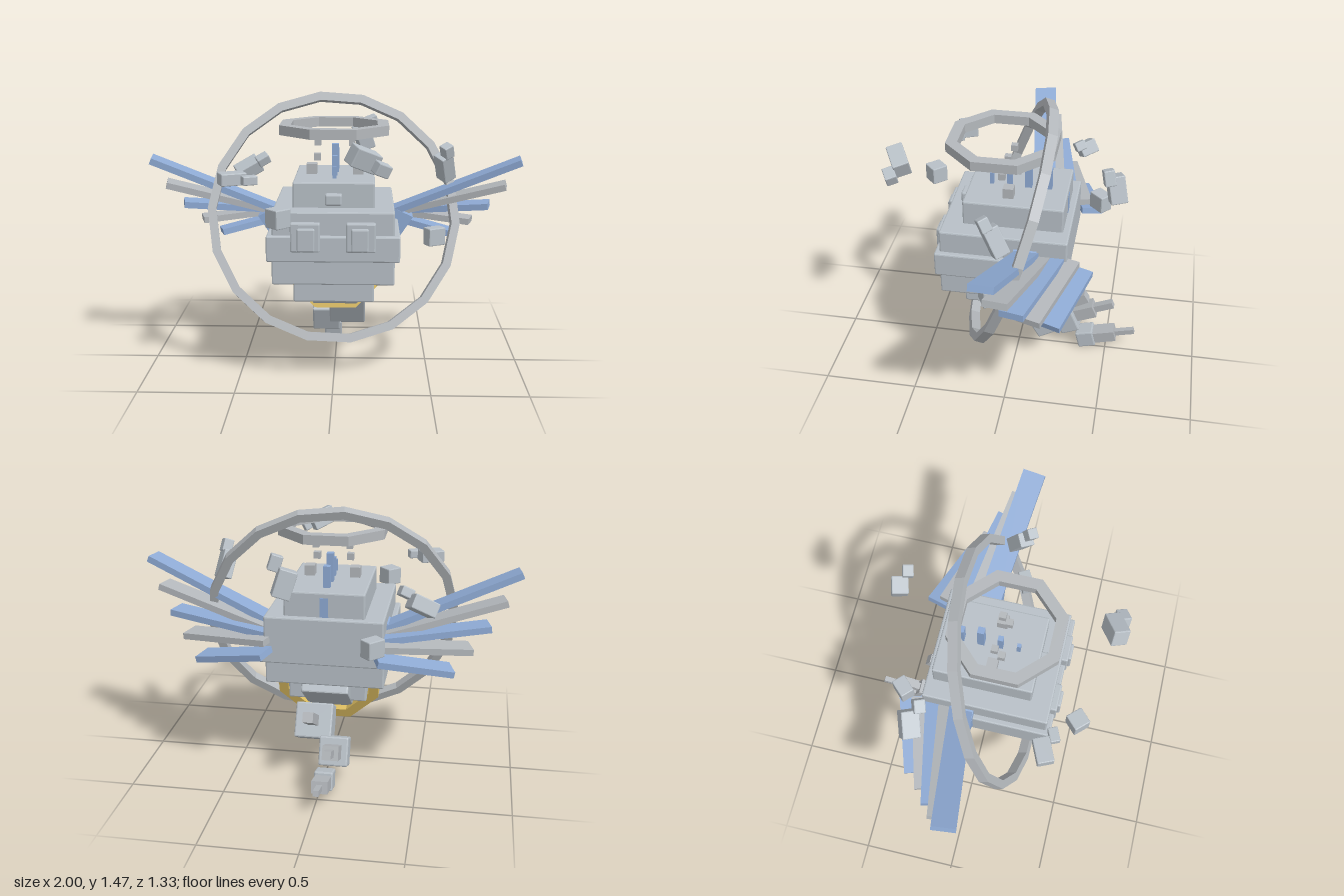
import * as THREE from 'three';
import { RoundedBoxGeometry } from 'three/addons/geometries/RoundedBoxGeometry.js';

const mat = (name, color) => {
  const m = new THREE.MeshStandardMaterial({ color, flatShading: true });
  m.name = name;
  return m;
};

export function createModel() {
  const stone = mat('stone grey', 0xb8c0c7);
  const paleGrey = mat('pale grey', 0xb4b8bc);
  const blue = mat('crystal blue', 0x8fabd5);
  const gold = mat('gold', 0xdabb60);

  const model = new THREE.Group();
  model.name = 'floatingGuardian';

  const add = (name, geometry, material, pos = [0, 0, 0], rot = [0, 0, 0], parent = model) => {
    const mesh = new THREE.Mesh(geometry, material);
    mesh.name = name;
    mesh.position.set(...pos);
    mesh.rotation.set(...rot);
    parent.add(mesh);
    return mesh;
  };
  const box = (name, size, pos, rot, material = stone, parent = model) =>
    add(name, new THREE.BoxGeometry(...size), material, pos, rot, parent);
  const block = (name, size, pos, rot, parent = model, r = 0.008) =>
    add(name, new RoundedBoxGeometry(...size, 1, r), stone, pos, rot, parent);

  // Polygonal ring with a rectangular section, lying around the y axis
  const ringGeometry = (outer, width, height, sides, start = 0, arc = Math.PI * 2) => {
    const inner = outer - width, h = height / 2;
    const profile = [[inner, -h], [outer, -h], [outer, h], [inner, h], [inner, -h]];
    return new THREE.LatheGeometry(profile.map(p => new THREE.Vector2(...p)), sides, start, arc);
  };

  // Stacked body: half width, bottom, top, back, front
  const tiers = [
    ['headBlock', 0.21, 0.91, 1.057, -0.26, 0.262],
    ['upperBody', 0.31, 0.79, 0.926, -0.295, 0.367],
    ['middleBody', 0.338, 0.672, 0.806, -0.295, 0.392],
    ['lowerBody', 0.312, 0.547, 0.68, -0.26, 0.37],
    ['baseBlock', 0.21, 0.421, 0.56, -0.155, 0.262],
  ];
  for (const [name, w, y0, y1, z0, z1] of tiers)
    block(name, [w * 2, y1 - y0, z1 - z0], [0, (y0 + y1) / 2, (z0 + z1) / 2]);

  // Face
  block('browStone', [0.085, 0.058, 0.06], [0, 0.973, 0.275]);
  for (const s of [-1, 1]) {
    block('eyeFrame', [0.15, 0.15, 0.06], [s * 0.14, 0.8, 0.37]);
    block('eye', [0.09, 0.12, 0.05], [s * 0.135, 0.79, 0.39]);
  }

  // Row of crystals along the crown: z, bottom, top, width
  for (const [z, y0, y1, w] of [
    [0.145, 1.04, 1.12, 0.02], [0.05, 1.04, 1.16, 0.028], [-0.05, 1.04, 1.21, 0.036],
    [-0.155, 1.04, 1.17, 0.036], [-0.24, 0.92, 1.03, 0.045],
  ]) box('crownCrystal', [w, y1 - y0, w], [0, (y0 + y1) / 2, z], undefined, blue);

  // Small cubes above the head
  for (const s of [-1, 1])
    for (const [x, y, z, w] of [[0.122, 1.09, 0.035, 0.055], [0.09, 1.16, 0.075, 0.036], [0.09, 1.23, 0.04, 0.034]])
      box('crownCube', [w, w, w], [s * x, y, z], undefined, paleGrey);

  // Halo and great ring
  add('halo', ringGeometry(0.302, 0.062, 0.05, 8, Math.PI / 8), paleGrey, [0, 1.313, 0.08]);
  const greatRing = new THREE.Group();
  greatRing.name = 'greatRingMount';
  greatRing.position.set(0, 0.832, 0.045);
  greatRing.rotation.set(-0.33, 0.14, 0, 'YXZ');
  model.add(greatRing);
  add('greatRing', ringGeometry(0.675, 0.045, 0.05, 18, 0.087), paleGrey, [0, 0, 0], [Math.PI / 2, 0, 0], greatRing);

  // Gold cradle under the body: lower part of an octagonal hoop
  const cradle = new THREE.Group();
  cradle.name = 'cradleMount';
  cradle.position.set(0, 0.55, -0.115);
  cradle.rotation.x = -0.3;
  model.add(cradle);
  gold.side = THREE.DoubleSide;
  add('goldCradle', ringGeometry(0.292, 0.055, 0.065, 5, -Math.PI * 5 / 8, Math.PI * 5 / 4), gold,
    [0, 0, 0], [Math.PI / 2, 0, 0], cradle).rotation.set(Math.PI / 2, 0, 0);

  // Tail links, each with spikes pointing backward: [width, height, start, end]
  const links = [
    { size: [0.25, 0.22, 0.31], pos: [0, 0.5, -0.072], tilt: 0.65, spikes: [] },
    { size: [0.2, 0.19, 0.145], pos: [0.065, 0.286, -0.153], tilt: 0.52, spikes: [[0.055, 0.055, 0.05, 0.27]] },
    { size: [0.155, 0.155, 0.11], pos: [-0.058, 0.176, -0.27], tilt: 0.4, spikes: [[0.085, 0.075, 0.04, 0.17], [0.04, 0.04, 0.16, 0.28]] },
    { size: [0.1, 0.1, 0.1], pos: [-0.022, 0.066, -0.387], tilt: 0.25, spikes: [[0.085, 0.065, 0.04, 0.17], [0.03, 0.03, 0.16, 0.28]] },
  ];
  links.forEach(({ size, pos, tilt, spikes }, i) => {
    const link = new THREE.Group();
    link.name = 'tailLink' + (i + 1);
    link.position.set(...pos);
    link.rotation.x = tilt;
    model.add(link);
    block('linkBlock', size, [0, 0, 0], undefined, link);
    for (const [w, h, a, b] of spikes)
      box('linkSpike', [w, h, b - a], [0, 0, -(a + b) / 2], undefined, paleGrey, link);
  });

  // Wings: five feathers a side, root to tip, alternating colours
  const feathers = [
    [[0.3, 0.835, -0.09], [0.985, 1.13, 0.005]],
    [[0.3, 0.815, -0.15], [0.915, 0.99, -0.04]],
    [[0.28, 0.815, -0.225], [0.835, 0.87, -0.1]],
    [[0.28, 0.803, -0.3], [0.745, 0.767, -0.165]],
    [[0.28, 0.755, -0.37], [0.655, 0.675, -0.25]],
  ];
  const shoulderShape = new THREE.Shape([[0.3, 0.87], [0.325, 0.67], [0.42, 0.815]].map(p => new THREE.Vector2(...p)));
  const shoulderGeometry = new THREE.ExtrudeGeometry(shoulderShape, { depth: 0.12, bevelEnabled: false });
  for (const s of [-1, 1]) {
    const wing = new THREE.Group();
    wing.name = s > 0 ? 'leftWing' : 'rightWing';
    model.add(wing);
    feathers.forEach(([root, tip], i) => {
      const a = new THREE.Vector3(s * root[0], root[1], root[2]);
      const b = new THREE.Vector3(s * tip[0], tip[1], tip[2]);
      const along = b.clone().sub(a), length = along.length();
      along.normalize();
      const chord = new THREE.Vector3(0, 0, 1).addScaledVector(along, -along.z).normalize();
      const up = chord.clone().cross(along);
      const feather = box('feather' + (i + 1), [length, 0.034, 0.122], a.add(b).multiplyScalar(0.5).toArray(),
        undefined, i % 2 ? paleGrey : blue, wing);
      feather.quaternion.setFromRotationMatrix(new THREE.Matrix4().makeBasis(along, up, chord));
    });
    // Shoulder wedge, turned half around for the other side
    add('shoulderWedge', shoulderGeometry, blue, [0, 0, s > 0 ? -0.14 : -0.02], [0, s > 0 ? 0 : Math.PI, 0], wing);
  }

  // Floating rubble: size, position, rotation
  const rubble = [
    [[0.14, 0.095, 0.085], [0.15, 1.235, 0.595], [0.25, 0.42, -0.5]],
    [[0.075, 0.06, 0.06], [0.235, 1.19, 0.62], [0.25, 0.42, -0.5]],
    [[0.13, 0.062, 0.085], [-0.5, 1.097, 0.378], [0, 0.42, 0]],
    [[0.075, 0.045, 0.05], [-0.41, 1.095, 0.412], [0, 0.42, 0]],
    [[0.14, 0.075, 0.095], [-0.5, 1.03, -0.3], [0.35, 0.45, 0.35]],
    [[0.07, 0.05, 0.06], [-0.415, 1.085, -0.27], [0.35, 0.45, 0.35]],
    [[0.075, 0.15, 0.08], [0.58, 1.1, 0.02], [0.35, 0.6, 0.2]],
    [[0.055, 0.07, 0.055], [0.585, 1.19, 0.07], [0.35, 0.6, 0.2]],
    [[0.09, 0.14, 0.085], [0.15, 1.18, -0.512], [0.12, 0.3, 0.3]],
    [[0.06, 0.08, 0.055], [0.2, 1.27, -0.475], [0.12, 0.3, 0.3]],
    [[0.09, 0.095, 0.09], [-0.262, 0.93, 0.515], [0, 0.76, 0]],
    [[0.1, 0.095, 0.065], [0.53, 0.735, 0.075], [0, 0.5, 0]],
    [[0.1, 0.095, 0.075], [-0.268, 0.835, -0.41], [0, 0.8, 0]],
  ];
  for (const [size, pos, rot] of rubble) block('floatingStone', size, pos, rot, model, 0.005);

  return model;
}
